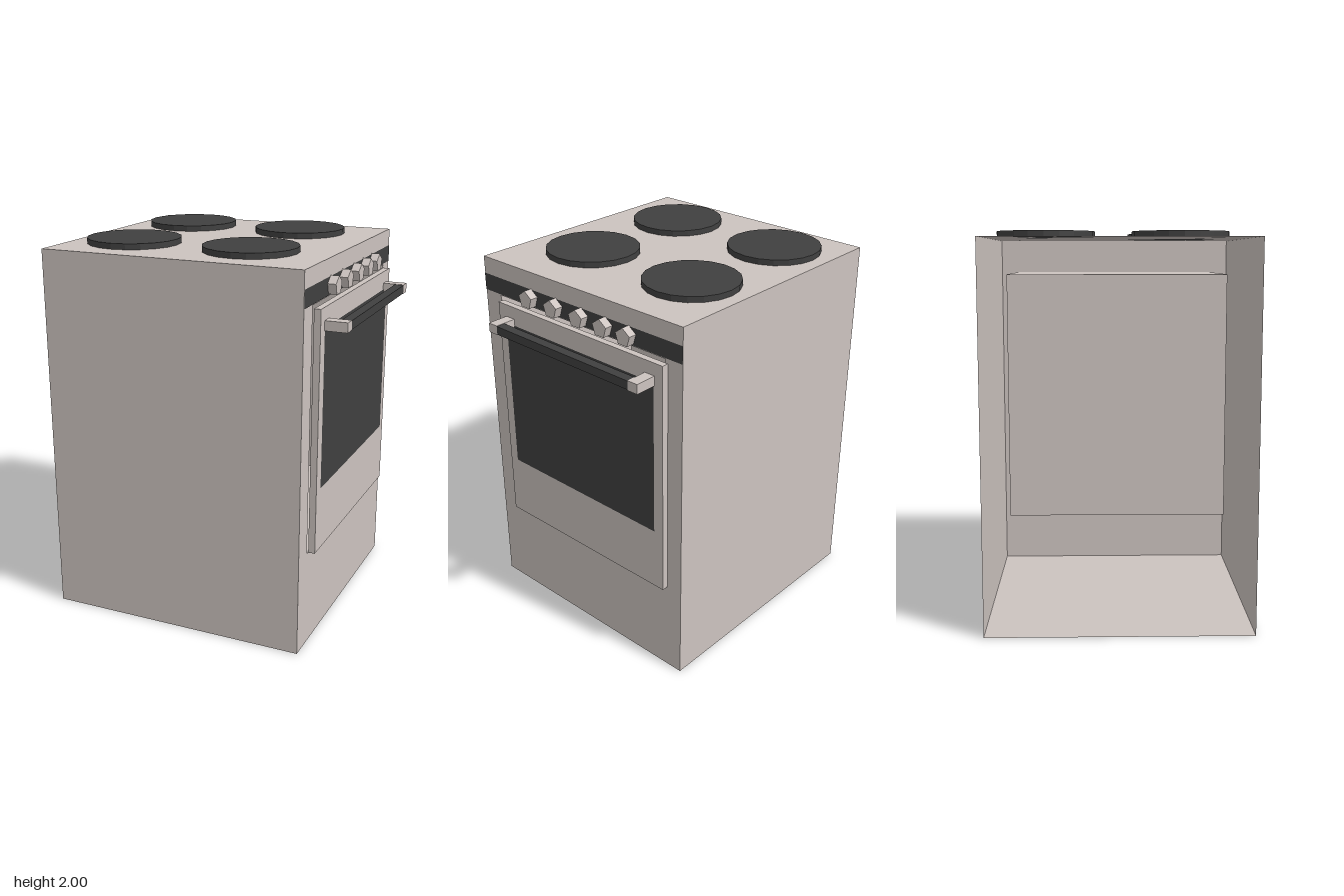
import * as THREE from 'three';

const enamel = new THREE.MeshStandardMaterial({ color: 0xccc3bf, flatShading: true, side: THREE.DoubleSide });
const black = new THREE.MeshStandardMaterial({ color: 0x404040, flatShading: true, side: THREE.DoubleSide });

// Box given by its minimum and maximum corners; faces listed in skip are left open
// (0 = +x, 1 = -x, 2 = +y, 3 = -y, 4 = +z, 5 = -z)
function box(name, material, min, max, skip = []) {
  const size = max.map((v, i) => v - min[i]);
  const geometry = new THREE.BoxGeometry(...size);
  if (skip.length) {
    const index = Array.from(geometry.index.array);
    geometry.setIndex(index.filter((_, i) => !skip.includes(Math.floor(i / 6))));
    geometry.clearGroups();
  }
  const mesh = new THREE.Mesh(geometry, material);
  mesh.position.set(...max.map((v, i) => (v + min[i]) / 2));
  mesh.name = name;
  return mesh;
}

// Upright panel facing +x
function panel(name, material, x, y0, y1, z0, z1) {
  const geometry = new THREE.PlaneGeometry(z1 - z0, y1 - y0).rotateY(Math.PI / 2);
  const mesh = new THREE.Mesh(geometry, material);
  mesh.position.set(x, (y0 + y1) / 2, (z0 + z1) / 2);
  mesh.name = name;
  return mesh;
}

function rectangle(path, x0, y0, x1, y1) {
  return path.moveTo(x0, y0).lineTo(x1, y0).lineTo(x1, y1).lineTo(x0, y1).closePath();
}

export function createModel() {
  const stove = new THREE.Group();
  stove.name = 'stove';
  const frontX = 0.625, doorX = 0.66, topY = 1.97;

  // Casing, open at the back, with an opening for the oven in its front
  stove.add(box('casing', enamel, [-0.78, 0, -0.68], [frontX, topY, 0.68], [0, 1]));
  const wall = new THREE.Shape();
  rectangle(wall, -0.68, 0, 0.68, topY);
  const hole = new THREE.Path();
  rectangle(hole, -0.565, 0.51, 0.575, 1.785);
  wall.holes.push(hole);
  const frontWall = new THREE.Mesh(new THREE.ShapeGeometry(wall).rotateY(Math.PI / 2), enamel);
  frontWall.position.x = frontX;
  frontWall.name = 'frontWall';
  stove.add(frontWall);

  // Oven cavity behind the door
  stove.add(box('ovenCavity', enamel, [-0.33, 0.51, -0.575], [frontX, 1.785, 0.565], [0]));

  // Door with window and handle
  const door = new THREE.Group();
  door.name = 'ovenDoor';
  door.add(box('doorPanel', enamel, [frontX, 0.51, -0.59], [doorX, 1.765, 0.545]));
  door.add(panel('doorWindow', black, doorX + 0.002, 0.845, 1.665, -0.535, 0.49));
  for (const z of [-0.54, 0.43]) {
    door.add(box('handleBracket', enamel, [doorX, 1.65, z], [0.775, 1.7, z + 0.06]));
  }
  door.add(box('handleBar', black, [0.725, 1.653, -0.48], [0.775, 1.698, 0.43]));
  stove.add(door);

  // Control strip with five-sided knobs
  stove.add(panel('controlStrip', black, frontX + 0.002, 1.79, 1.88, -0.68, 0.68));
  for (const z of [0.323, 0.143, -0.035, -0.198, -0.35]) {
    const geometry = new THREE.CylinderGeometry(0.048, 0.048, 0.045, 5);
    geometry.rotateY(Math.PI / 2).rotateZ(-Math.PI / 2);
    // Turn one corner straight up
    geometry.rotateX(knobTurn(geometry));
    const knob = new THREE.Mesh(geometry, enamel);
    knob.position.set(frontX + 0.0225, 1.836, z);
    knob.name = 'knob';
    stove.add(knob);
  }

  // Hot plates
  for (const [x, z] of [[-0.45, -0.365], [0.205, -0.365], [-0.455, 0.31], [0.203, 0.31]]) {
    const plate = new THREE.Mesh(new THREE.CylinderGeometry(0.245, 0.245, 0.03, 20), black);
    plate.position.set(x, topY + 0.015, z);
    plate.name = 'hotPlate';
    stove.add(plate);
  }
  return stove;
}

// Angle about x that brings the first rim corner to the top
function knobTurn(geometry) {
  const p = geometry.attributes.position;
  return -Math.atan2(p.getZ(0), p.getY(0));
}
